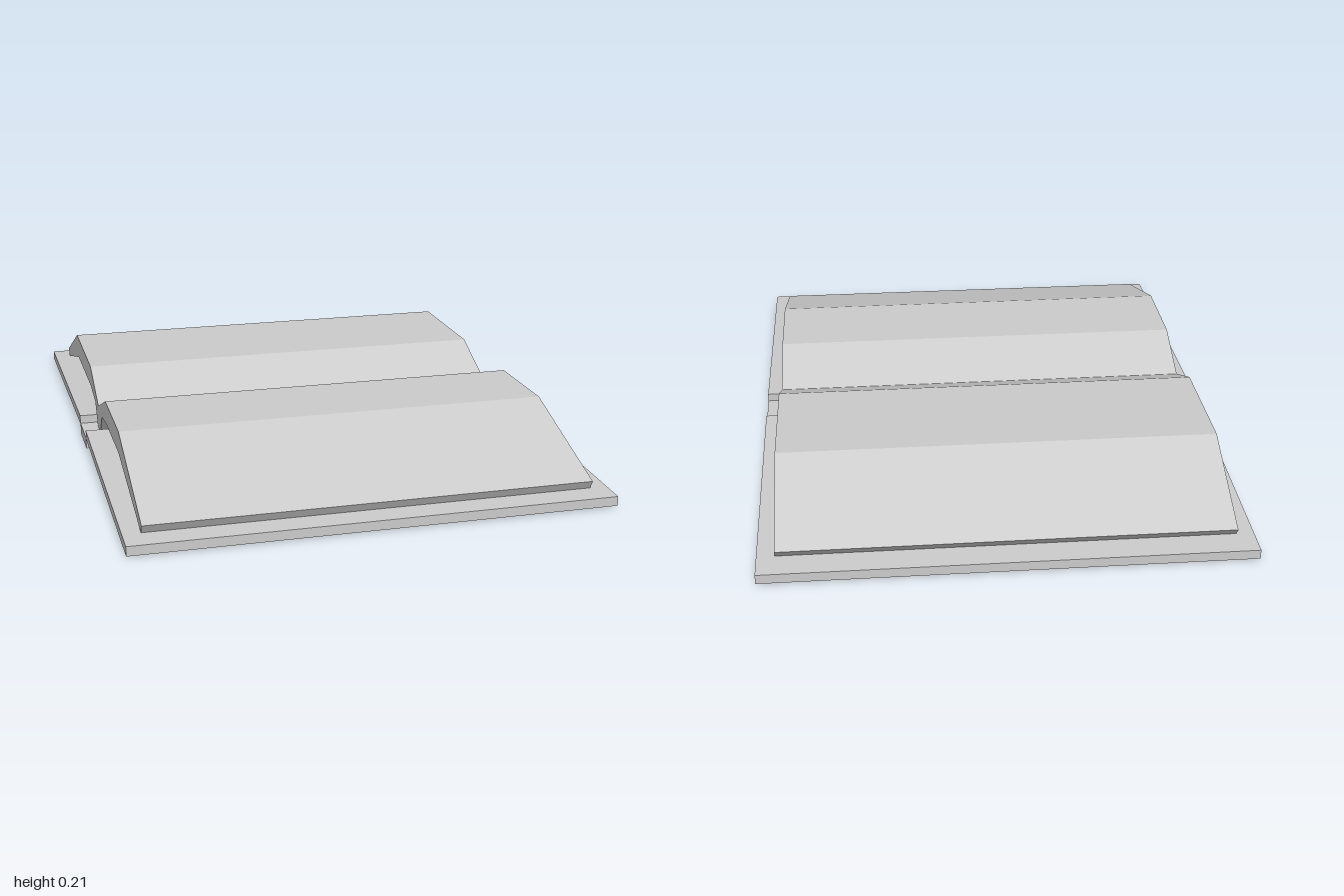
import * as THREE from 'three';

const material = new THREE.MeshStandardMaterial({ color: 0xcccccc, flatShading: true });

// Extrudes a [z, y] outline along x, centred on x = 0.
function slab(name, outline, width) {
  const shape = new THREE.Shape(outline.map(([z, y]) => new THREE.Vector2(-z, y)));
  const geometry = new THREE.ExtrudeGeometry(shape, { depth: width, bevelEnabled: false });
  geometry.translate(0, 0, -width / 2);
  geometry.rotateY(Math.PI / 2);
  const mesh = new THREE.Mesh(geometry, material);
  mesh.name = name;
  return mesh;
}

export function createModel() {
  const book = new THREE.Group();
  book.name = 'openBook';
  const coverWidth = 1.5;
  const pageWidth = 1.39;

  // Cover boards, rising slightly toward the spine
  for (const [name, s] of [['frontCover', 1], ['backCover', -1]]) {
    book.add(slab(name, [
      [s, 0.003], [s, 0.033], [s * 0.08, 0.063], [s * 0.08, 0.034],
    ], coverWidth));
  }

  // Spine strip
  book.add(slab('spine', [
    [0.08, 0], [0.08, 0.037], [-0.075, 0.037], [-0.075, 0],
  ], coverWidth));

  // Both arched page halves, joined in the gutter
  book.add(slab('pages', [
    [0, 0.12], [0.2, 0.2], [0.505, 0.2], [0.935, 0.063],
    [0.92, 0.036], [0.49, 0.124], [0.2, 0.124], [0.09, 0.11], [0.035, 0.037],
    [-0.035, 0.037], [-0.085, 0.11], [-0.21, 0.13], [-0.57, 0.13], [-0.91, 0.037],
    [-0.93, 0.063], [-0.595, 0.208], [-0.19, 0.204],
  ], pageWidth));

  return book;
}
